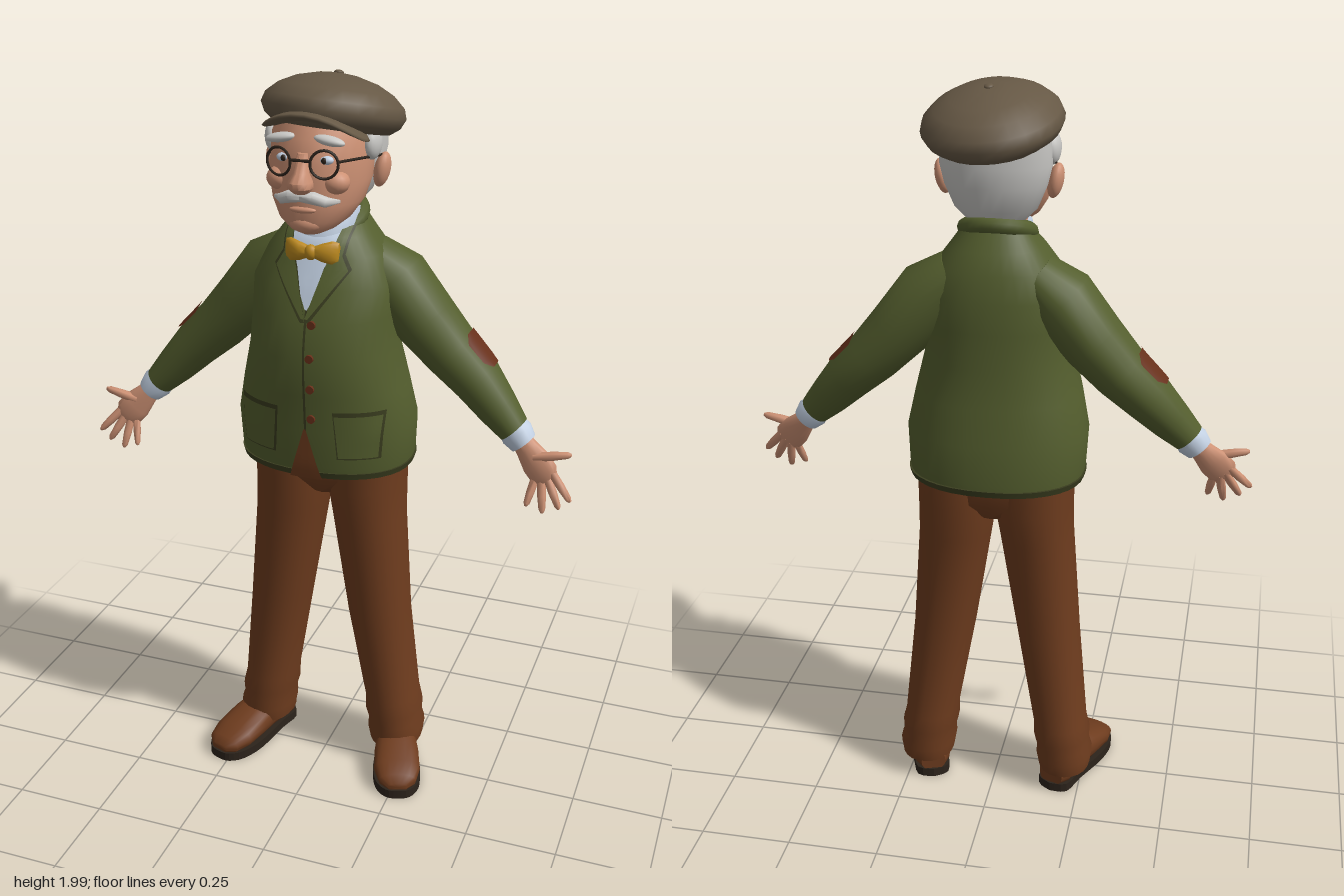
import * as THREE from 'three';
import { toCreasedNormals } from 'three/addons/utils/BufferGeometryUtils.js';

const mat = (name, color) => Object.assign(new THREE.MeshStandardMaterial({ color }), { name });
const M = {
  cap: mat('cap tweed', 0x665845), jacket: mat('jacket green', 0x545e2e), trim: mat('jacket trim', 0x3a3d1f),
  trousers: mat('trouser brown', 0x6e3c1e), patch: mat('patch brown', 0x67301a), skin: mat('skin', 0xcd9174),
  hair: mat('white hair', 0xc9c8c5), shirt: mat('shirt blue', 0xc2d0e2), bow: mat('bow gold', 0xbd8a1e),
  dark: mat('dark leather', 0x2c231b),
};

const grid = (pos, rows, cols, flip, caps) => {
  const idx = [], w = cols + 1;
  for (let i = 0; i < rows; i++) for (let j = 0; j < cols; j++) {
    const a = i * w + j, b = a + 1, d = a + w, c = d + 1;
    idx.push(...(flip ? [a, d, b, b, d, c] : [a, b, c, a, c, d]));
  }
  if (caps) for (let j = 0; j < cols; j++) {
    const t = rows * w, n = pos.length / 3;
    idx.push(n - 2, j, j + 1, n - 1, t + j + 1, t + j);
  }
  const g = new THREE.BufferGeometry();
  g.setAttribute('position', new THREE.Float32BufferAttribute(pos, 3));
  g.setIndex(idx);
  return toCreasedNormals(g, 0.9);
};

// Skin over rings [x, y, z, radiusAcross, radiusZ, halfArc]; rings stay level or follow the path
function loft(rings, { n = 20, level = true, p = 2, mid = 0 } = {}) {
  const pos = [], pow = v => Math.sign(v) * Math.abs(v) ** (2 / p);
  rings.forEach(([x, y, z, ru, rv, half = Math.PI], i) => {
    const a = rings[Math.max(0, i - 1)], b = rings[Math.min(rings.length - 1, i + 1)];
    const t = level ? new THREE.Vector2(0, 1) : new THREE.Vector2(b[0] - a[0], b[1] - a[1]).normalize();
    for (let j = 0; j <= n; j++) {
      const k = mid + (2 * (j % (half === Math.PI ? n : n + 1)) / n - 1) * half;
      const u = ru * pow(Math.cos(k));
      pos.push(x + t.y * u, y - t.x * u, z + rv * pow(Math.sin(k)));
    }
  });
  const closed = rings[0][5] === undefined;
  if (closed) for (const r of [rings[0], rings.at(-1)]) pos.push(r[0], r[1], r[2]);
  return grid(pos, rings.length - 1, n, true, closed);
}

const ball = (x, y, z, rx, ry, rz, rot = 0) =>
  new THREE.SphereGeometry(1, 18, 12).scale(rx, ry, rz).rotateZ(rot).translate(x, y, z);
const rod = (a, b, r) => new THREE.TubeGeometry(
  new THREE.LineCurve3(new THREE.Vector3(...a), new THREE.Vector3(...b)), 1, r, 6);

const TORSO = [
  [0, 0.97, -0.03, 0.232, 0.178], [0, 1.0, -0.028, 0.238, 0.182], [0, 1.1, -0.022, 0.243, 0.18],
  [0, 1.2, -0.01, 0.222, 0.176], [0, 1.3, 0, 0.198, 0.174], [0, 1.4, -0.01, 0.193, 0.165],
  [0, 1.48, -0.022, 0.195, 0.15], [0, 1.55, -0.03, 0.16, 0.13], [0, 1.6, -0.03, 0.122, 0.11],
  [0, 1.65, -0.045, 0.085, 0.065]];
const P = 2.25;

// Depth of the jacket front at a point
function frontZ(x, y) {
  let i = 0;
  while (i < TORSO.length - 2 && TORSO[i + 1][1] < y) i++;
  const a = TORSO[i], b = TORSO[i + 1], t = (y - a[1]) / (b[1] - a[1]);
  const [cz, rx, rz] = [2, 3, 4].map(k => THREE.MathUtils.lerp(a[k], b[k], t));
  return cz + rz * Math.max(0, 1 - Math.min(1, Math.abs(x) / rx) ** P) ** (1 / P);
}

// Thin panel lying on the jacket front, from rows [y, x0, x1]
function panel(rows, off, s = 1) {
  const pos = [], sub = 6, cols = 8, total = (rows.length - 1) * sub;
  for (let k = 0; k <= total; k++) {
    const i = Math.min(rows.length - 2, Math.floor(k / sub)), t = k / sub - i;
    const [y, p, q] = rows[i].map((v, c) => THREE.MathUtils.lerp(v, rows[i + 1][c], t));
    const lo = Math.min(s * p, s * q), hi = Math.max(s * p, s * q);
    for (let j = 0; j <= cols; j++) {
      const x = THREE.MathUtils.lerp(lo, hi, j / cols);
      pos.push(x, y, frontZ(x, y) + off);
    }
  }
  return grid(pos, total, cols, false, false);
}

export function createModel() {
  const root = new THREE.Group();
  root.name = 'oldGentleman';
  const add = (name, geo, m) => {
    const mesh = new THREE.Mesh(geo, m);
    mesh.name = name;
    root.add(mesh);
  };

  // Jacket body, shirt front and trims
  add('jacketBody', loft(TORSO, { n: 36, p: P }), M.jacket);
  add('jacketHem', loft([[0, 0.968, -0.03, 0.235, 0.181], [0, 0.985, -0.03, 0.24, 0.185]], { n: 36, p: P }), M.trim);
  add('jacketCollar', new THREE.TorusGeometry(0.082, 0.022, 10, 28).rotateX(Math.PI / 2 + 0.4).translate(0, 1.635, -0.03), M.jacket);
  add('shirtFront', panel([[1.43, -0.003, 0.003], [1.52, -0.045, 0.045], [1.64, -0.075, 0.075]], 0.005), M.shirt);
  add('shirtCollar', loft([[0, 1.575, 0, 0.084, 0.088], [0, 1.625, -0.005, 0.09, 0.085], [0, 1.66, -0.015, 0.085, 0.07]]), M.shirt);
  add('frontSeam', panel([[1.1, -0.002, 0.004], [1.43, -0.002, 0.004]], 0.004), M.trim);
  add('frontOpening', panel([[0.966, -0.045, 0.045], [1.11, -0.002, 0.004]], 0.009), M.trousers);
  for (let i = 0; i < 4; i++) {
    const y = 1.14 + i * 0.085;
    add('button', new THREE.CylinderGeometry(0.011, 0.011, 0.008, 12).rotateX(Math.PI / 2)
      .translate(0.018, y, frontZ(0.018, y) + 0.004), M.patch);
  }

  // Bow tie
  add('bowKnot', ball(0, 1.57, 0.112, 0.017, 0.02, 0.016), M.bow);

  // Neck, head and face
  add('neck', loft([[0, 1.55, -0.02, 0.07, 0.07], [0, 1.7, -0.01, 0.075, 0.08]]), M.skin);
  add('head', loft([
    [0, 1.622, 0.095, 0.03, 0.04], [0, 1.635, 0.088, 0.058, 0.072], [0, 1.66, 0.072, 0.09, 0.1],
    [0, 1.7, 0.048, 0.115, 0.124], [0, 1.75, 0.03, 0.127, 0.143], [0, 1.8, 0.02, 0.128, 0.15],
    [0, 1.86, 0.01, 0.126, 0.15], [0, 1.92, 0, 0.1, 0.12]], { n: 28 }), M.skin);
  add('nose', loft([[0, 1.735, 0.175, 0.02, 0.018], [0, 1.75, 0.18, 0.032, 0.036], [0, 1.765, 0.18, 0.03, 0.038],
    [0, 1.785, 0.172, 0.019, 0.028], [0, 1.83, 0.162, 0.013, 0.014]], { n: 14 }), M.skin);
  add('lowerLip', ball(0, 1.692, 0.166, 0.035, 0.009, 0.012), M.skin);
  add('chin', ball(0, 1.655, 0.145, 0.042, 0.026, 0.03), M.skin);
  add('backHair', loft([
    [0, 1.665, -0.055, 0.07, 0.045], [0, 1.7, -0.055, 0.105, 0.07], [0, 1.76, -0.06, 0.13, 0.08],
    [0, 1.81, -0.06, 0.142, 0.085], [0, 1.88, -0.06, 0.138, 0.08]], { n: 24 }), M.hair);
  add('glassesBridge', rod([-0.025, 1.815, 0.182], [0.025, 1.815, 0.182], 0.004), M.dark);

  // Flat cap, tilted up at the front and down on its left
  const tilt = g => g.rotateX(-0.2).rotateZ(-0.07).translate(0.014, 1.87, -0.008);
  add('capCrown', tilt(loft([
    [0, -0.012, 0, 0.145, 0.16], [0, 0.005, 0, 0.168, 0.184], [0, 0.03, 0, 0.18, 0.196], [0, 0.055, 0, 0.172, 0.188],
    [0, 0.082, 0, 0.142, 0.158], [0, 0.103, 0, 0.1, 0.112], [0, 0.117, 0, 0.045, 0.05], [0, 0.12, 0, 0.01, 0.01]],
  { n: 28 })), M.cap);
  const peak = new THREE.SphereGeometry(1, 24, 12).scale(0.135, 0.015, 0.1);
  const pp = peak.attributes.position;
  for (let i = 0; i < pp.count; i++) pp.setY(i, pp.getY(i) - 2.2 * pp.getX(i) ** 2);
  peak.computeVertexNormals();
  add('capPeak', tilt(peak.translate(0, 0.012, 0.118)), M.cap);
  add('capButton', tilt(ball(0, 0.121, 0, 0.012, 0.006, 0.012)), M.cap);

  // Seat of the trousers
  add('trouserSeat', loft([[0, 0.87, -0.05, 0.06, 0.09], [0, 0.92, -0.05, 0.18, 0.125], [0, 1.0, -0.05, 0.2, 0.13]]), M.trousers);

  for (const s of [1, -1]) {
    const side = s > 0 ? 'left' : 'right';
    const mir = rings => rings.map(([x, ...r]) => [s * x, ...r]);
    const limb = (rings, n = 18) => loft(mir(rings), { n, level: false });

    // Lapel, pocket and bow wing
    add(side + 'LapelEdge', panel([[1.4, 0, 0.012], [1.53, 0.035, 0.103], [1.565, 0.05, 0.083], [1.625, 0.064, 0.09]], 0.008, s), M.trim);
    add(side + 'Lapel', panel([[1.41, 0.001, 0.009], [1.528, 0.036, 0.096], [1.562, 0.05, 0.077], [1.625, 0.064, 0.085]], 0.012, s), M.jacket);
    add(side + 'PocketEdge', panel([[1.03, 0.085, 0.19], [1.165, 0.075, 0.2]], 0.006, s), M.trim);
    add(side + 'Pocket', panel([[1.036, 0.09, 0.185], [1.155, 0.08, 0.195]], 0.011, s), M.jacket);
    add(side + 'BowWing', limb([[0.005, 1.57, 0.108, 0.014, 0.012], [0.03, 1.57, 0.108, 0.024, 0.016],
      [0.055, 1.57, 0.102, 0.031, 0.016], [0.07, 1.57, 0.096, 0.026, 0.009]], 12), M.bow);

    // Sleeve, elbow patch and shirt cuff
    add(side + 'Sleeve', limb([
      [0.1, 1.53, -0.05, 0.06, 0.085], [0.17, 1.47, -0.058, 0.088, 0.1], [0.255, 1.365, -0.062, 0.083, 0.096],
      [0.33, 1.285, -0.063, 0.074, 0.086], [0.4, 1.22, -0.058, 0.066, 0.077], [0.46, 1.155, -0.045, 0.055, 0.06],
      [0.508, 1.105, -0.034, 0.043, 0.046]]), M.jacket);
    add(side + 'ElbowPatch', loft(mir([
      [0.32, 1.295, -0.063, 0.08, 0.092, 0.3], [0.337, 1.278, -0.063, 0.078, 0.09, 0.55],
      [0.382, 1.237, -0.06, 0.073, 0.084, 0.55], [0.4, 1.22, -0.058, 0.071, 0.082, 0.3]]),
    { n: 10, level: false, mid: s > 0 ? Math.PI : 0 }), M.patch);
    add(side + 'Cuff', limb([[0.5, 1.113, -0.034, 0.038, 0.04], [0.517, 1.095, -0.032, 0.045, 0.042],
      [0.537, 1.072, -0.028, 0.037, 0.036]]), M.shirt);

    // Hand with spread fingers
    add(side + 'Palm', limb([[0.52, 1.092, -0.03, 0.024, 0.024], [0.548, 1.06, -0.022, 0.032, 0.023],
      [0.578, 1.027, -0.012, 0.043, 0.02], [0.6, 1.002, -0.005, 0.042, 0.016], [0.612, 0.989, -0.002, 0.03, 0.01]]), M.skin);
    const digits = [[0.57, 1.045, 0.667, 1.066, 0.013], [0.618, 1.012, 0.678, 0.948, 0.012],
      [0.607, 0.998, 0.65, 0.922, 0.012], [0.594, 0.988, 0.607, 0.904, 0.012], [0.578, 0.988, 0.563, 0.917, 0.011]];
    digits.forEach(([x, y, X, Y, r], i) => {
      const at = (t, k) => [x + (X - x) * t, y + (Y - y) * t, -0.006 + t * (i ? 0.03 : 0), r * k, r * k];
      add(side + (i ? 'Finger' : 'Thumb'), limb([at(0, 1), at(0.5, 1), at(0.9, 0.75), at(1, 0.35)], 8), M.skin);
    });

    // Trouser leg with bunched hem
    add(side + 'TrouserLeg', loft(mir([
      [0.203, 0.06, -0.06, 0.074, 0.092], [0.202, 0.1, -0.06, 0.08, 0.101], [0.198, 0.13, -0.06, 0.074, 0.097],
      [0.194, 0.165, -0.06, 0.08, 0.103], [0.188, 0.21, -0.06, 0.075, 0.099], [0.148, 0.5, -0.045, 0.087, 0.1],
      [0.113, 0.8, -0.048, 0.1, 0.115], [0.104, 0.9, -0.052, 0.107, 0.13], [0.104, 1.02, -0.05, 0.11, 0.13]]),
    { n: 22, p: 2.2 }), M.trousers);

    // Shoe and sole, toes turned out
    const place = g => g.rotateY(s * 0.33).translate(s * 0.203, 0, -0.05);
    add(side + 'Shoe', place(loft([
      [0, -0.088, -0.05, 0.035, 0.03], [0, -0.06, -0.058, 0.052, 0.044], [0, 0.03, -0.066, 0.056, 0.052],
      [0, 0.09, -0.06, 0.064, 0.044], [0, 0.16, -0.048, 0.066, 0.032], [0, 0.205, -0.04, 0.053, 0.023],
      [0, 0.226, -0.034, 0.028, 0.012]], { p: 2.4 }).rotateX(Math.PI / 2)), M.trousers);
    const outline = [[0, -0.095], [0.045, -0.075], [0.052, 0], [0.068, 0.11], [0.062, 0.185], [0.035, 0.225], [0, 0.233]];
    const loop = [...outline, ...outline.slice(1, -1).reverse().map(([x, z]) => [-x, z])];
    const sole = new THREE.Shape(new THREE.SplineCurve(
      [...loop, loop[0]].map(([x, z]) => new THREE.Vector2(x, z))).getPoints(36).slice(0, -1));
    add(side + 'Sole', place(new THREE.ExtrudeGeometry(sole, { depth: 0.026, bevelEnabled: false })
      .rotateX(Math.PI / 2).translate(0, 0.026, 0)), M.dark);

    // Ear, cheek, eye, brow, moustache, side hair and glasses
    add(side + 'Ear', ball(s * 0.143, 1.762, -0.015, 0.02, 0.045, 0.03, -s * 0.2), M.skin);
    add(side + 'Cheek', ball(s * 0.07, 1.757, 0.128, 0.037, 0.03, 0.034), M.skin);
    add(side + 'Eye', ball(s * 0.054, 1.813, 0.148, 0.019, 0.011, 0.013), M.shirt);
    add(side + 'Pupil', ball(s * 0.052, 1.813, 0.158, 0.007, 0.008, 0.005), M.dark);
    add(side + 'Brow', ball(s * 0.062, 1.86, 0.148, 0.04, 0.012, 0.018, -s * 0.15), M.hair);
    add(side + 'Moustache', limb([[0.0, 1.726, 0.178, 0.012, 0.014], [0.03, 1.725, 0.175, 0.016, 0.018],
      [0.06, 1.713, 0.158, 0.013, 0.016], [0.085, 1.712, 0.135, 0.004, 0.005]], 10), M.hair);
    add(side + 'SideHair', ball(s * 0.128, 1.835, 0.02, 0.023, 0.042, 0.04), M.hair);
    add(side + 'GlassesRim', new THREE.TorusGeometry(0.034, 0.0035, 6, 24).rotateY(s * 0.25)
      .translate(s * 0.058, 1.808, 0.174), M.dark);
    add(side + 'GlassesArm', rod([s * 0.091, 1.815, 0.165], [s * 0.145, 1.8, -0.01], 0.0035), M.dark);
  }
  return root;
}
